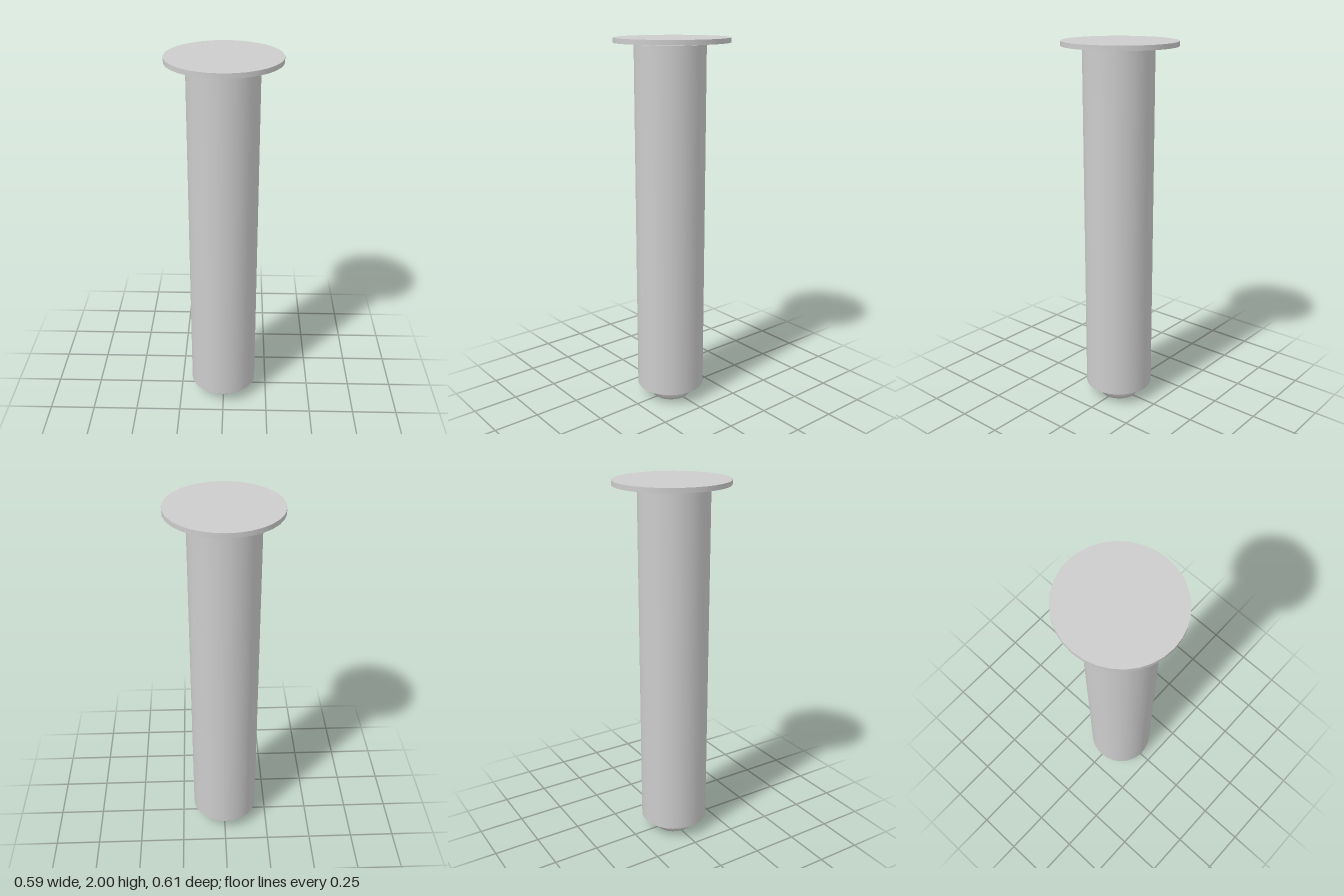
import * as THREE from 'three';
import { mergeVertices } from 'three/addons/utils/BufferGeometryUtils.js';

export function createModel() {
  const group = new THREE.Group();
  const grey = new THREE.MeshStandardMaterial({ color: 0xcccccc });
  grey.name = 'light grey';

  // Upright round part spanning y0..y1; soft shares normals across its rims
  function round(name, rx, rz, y0, y1, x, z, soft) {
    let geo = new THREE.CylinderGeometry(1, 1, y1 - y0, 32);
    geo.scale(rx, 1, rz);
    if (soft) {
      geo.deleteAttribute('normal');
      geo.deleteAttribute('uv');
      geo = mergeVertices(geo);
      geo.computeVertexNormals();
    }
    const mesh = new THREE.Mesh(geo, grey);
    mesh.name = name;
    mesh.position.set(x, (y0 + y1) / 2, z);
    group.add(mesh);
  }

  // Thin top disc, long barrel and short foot
  round('topDisc', 0.296, 0.304, 1.975, 2, 0, 0, false);
  round('barrel', 0.186, 0.187, 0.072, 1.967, -0.003, 0.01, false);
  round('foot', 0.105, 0.106, 0, 0.075, -0.002, 0.007, true);

  return group;
}
